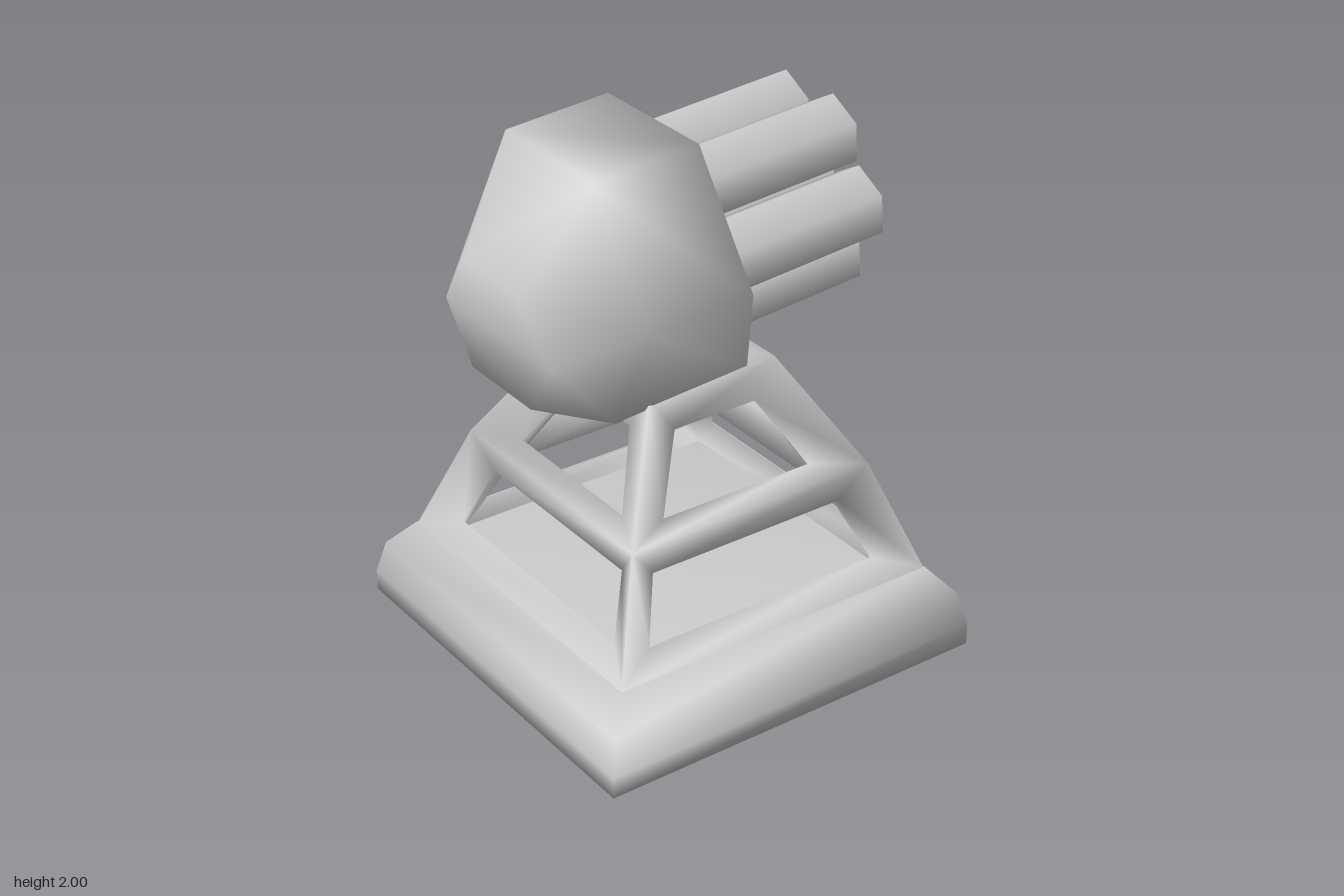
import * as THREE from 'three';
import { mergeGeometries, mergeVertices } from 'three/addons/utils/BufferGeometryUtils.js';

const material = new THREE.MeshStandardMaterial({ color: 0xcccccc });

function addMesh(parent, name, geometry) {
  const mesh = new THREE.Mesh(geometry, material);
  mesh.name = name;
  parent.add(mesh);
  return mesh;
}

// Skin a series of closed rings (counterclockwise seen from the far end), optionally capped
function loft(rings, capped = false) {
  const n = rings[0].length, last = (rings.length - 1) * n, index = [];
  for (let k = 0; k < rings.length - 1; k++) {
    for (let i = 0; i < n; i++) {
      const j = (i + 1) % n;
      const a = k * n + i, b = k * n + j, c = b + n, d = a + n;
      index.push(a, b, c, a, c, d);
    }
  }
  if (capped) {
    for (let i = 1; i < n - 1; i++) {
      index.push(0, i + 1, i, last, last + i, last + i + 1);
    }
  }
  const geometry = new THREE.BufferGeometry();
  geometry.setAttribute('position', new THREE.Float32BufferAttribute(rings.flat(2), 3));
  geometry.setIndex(index);
  geometry.computeVertexNormals();
  return geometry;
}

// Horizontal square ring of half width h at height y
const square = (h, y) => [[-h, y, h], [h, y, h], [h, y, -h], [-h, y, -h]];

// Four corners of an upright panel, from a bottom and a top [half width, y, z]
const panel = ([x0, y0, z0], [x1, y1, z1]) =>
  [[-x0, y0, z0], [x0, y0, z0], [x1, y1, z1], [-x1, y1, z1]];

// Open truss: each panel runs from outer corners, through its hole, to inner corners
function trussGeometry() {
  const outer = [[0.655, 0.31, 0.655], [0.505, 0.72, 0.505], [0.265, 1.12, 0.265]];
  const inner = [[0.53, 0.31, 0.53], [0.395, 0.61, 0.395], [0.2, 0.98, 0.2]];
  const holes = [
    [[0.48, 0.37, 0.565], [0.4, 0.59, 0.475]],
    [[0.31, 0.74, 0.41], [0.17, 0.98, 0.28]],
  ];
  const parts = [];
  for (let side = 0; side < 4; side++) {
    holes.forEach(([low, high], k) => {
      const part = loft([
        panel(outer[k], outer[k + 1]),
        panel(low, high),
        panel(inner[k], inner[k + 1]),
      ]);
      parts.push(part.rotateY(side * Math.PI / 2));
    });
  }
  // Top frame
  parts.push(loft([square(0.265, 1.12), square(0.15, 1.05), square(0.2, 0.98)]));
  parts.forEach((part) => part.deleteAttribute('normal'));
  const welded = mergeVertices(mergeGeometries(parts), 1e-4);
  welded.computeVertexNormals();
  return welded;
}

// Six-sided ring of the head from its middle, bottom and top [half width, y, z]
const headRing = ([mx, my, mz], [bx, by, bz], [tx, ty, tz]) => [
  [-mx, my, mz], [-bx, by, bz], [bx, by, bz],
  [mx, my, mz], [tx, ty, tz], [-tx, ty, tz],
];

export function createModel() {
  const model = new THREE.Group();
  model.name = 'turret';

  // Square plinth with a rounded shoulder
  addMesh(model, 'base', loft([
    square(0.775, 0), square(0.775, 0.08), square(0.745, 0.21), square(0.66, 0.31),
  ], true));

  addMesh(model, 'trussTower', trussGeometry());

  // Head, from the bent back face to the small front face
  addMesh(model, 'head', loft([
    headRing([0.523, 1.55, 0.03], [0.26, 1.11, -0.15], [0.26, 2.0, 0.06]),
    headRing([0.523, 1.52, 0.43], [0.26, 1.07, 0.4], [0.26, 1.97, 0.47]),
    headRing([0.32, 1.39, 0.69], [0.18, 1.18, 0.68], [0.17, 1.6, 0.71]),
  ], true));

  // Cluster of seven hexagonal barrels, tilted slightly upward to the rear
  const barrels = new THREE.Group();
  barrels.name = 'barrels';
  barrels.position.set(0, 1.605, -0.628);
  barrels.rotation.x = 0.075;
  model.add(barrels);

  const profile = [[0.14, -0.75], [0.14, 0], [0.085, 0], [0.07, -0.1], [0, -0.1]]
    .map(([r, y]) => new THREE.Vector2(r, y));
  const barrelGeometry = new THREE.LatheGeometry(profile, 6).rotateX(-Math.PI / 2);
  addMesh(barrels, 'centreBarrel', barrelGeometry);
  for (let i = 0; i < 6; i++) {
    const angle = i * Math.PI / 3;
    addMesh(barrels, 'outerBarrel', barrelGeometry)
      .position.set(0.26 * Math.cos(angle), 0.26 * Math.sin(angle), 0);
  }

  return model;
}
